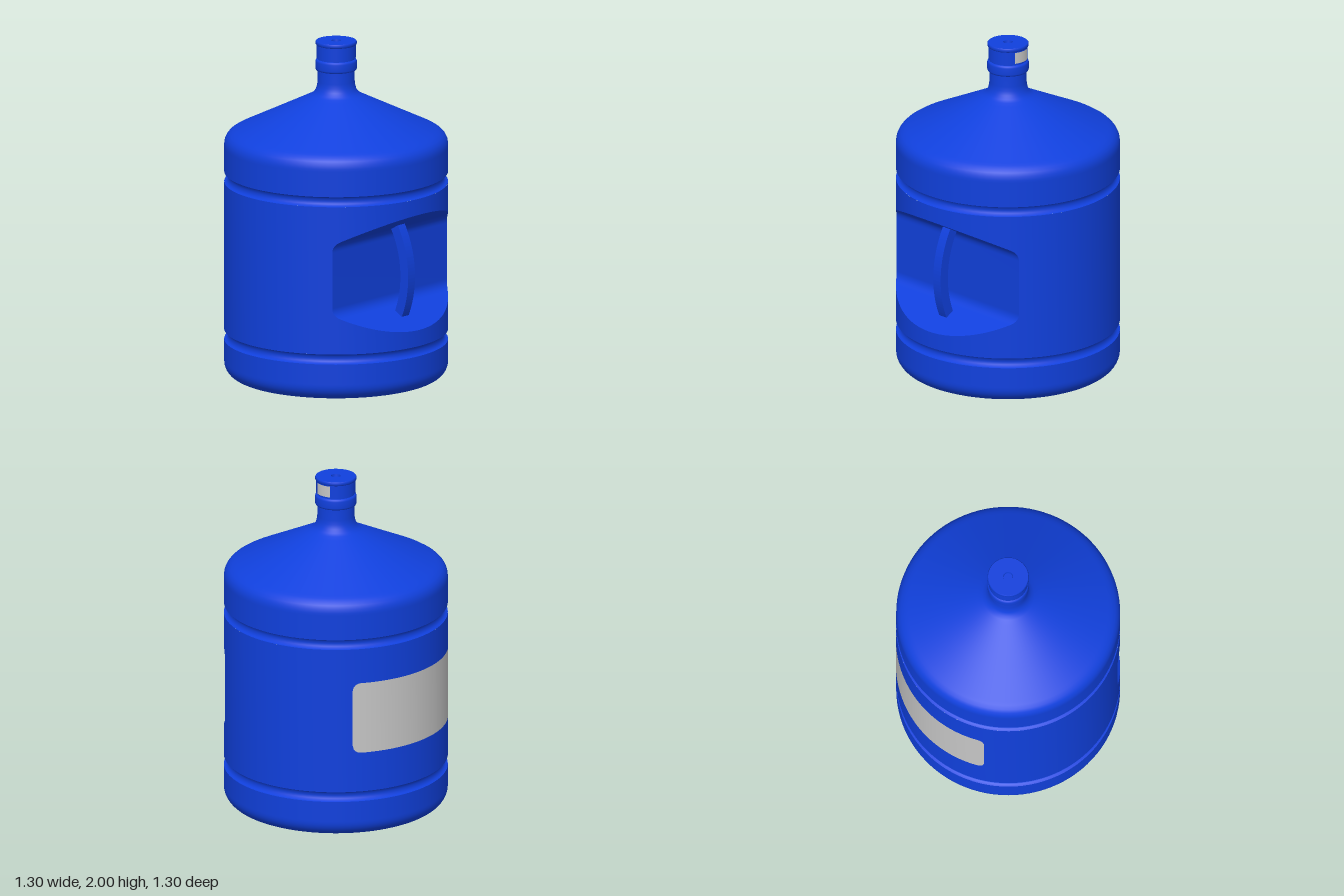
import * as THREE from 'three';

const SEG = 96, R = 0.65;
const NOTCH_X = 0.415, NOTCH_Y = 0.72; // flat back wall of the hand recess

export function createModel() {
  const blue = new THREE.MeshStandardMaterial({ color: 0x1040dd });
  blue.name = 'bottleBlue';
  const grey = new THREE.MeshStandardMaterial({ color: 0xc6c6c6 });
  grey.name = 'labelGrey';
  const model = new THREE.Group();
  model.name = 'waterBottle';

  const add = (name, geometry, material = blue) => {
    const mesh = new THREE.Mesh(geometry, material);
    mesh.name = name;
    model.add(mesh);
    return mesh;
  };

  // Smooth lathe piece; hard edges fall between pieces
  const turn = (name, pts) =>
    add(name, new THREE.LatheGeometry(pts.map(([x, y]) => new THREE.Vector2(x, y)), SEG));

  // Surface through columns of points
  const grid = (cols) => {
    const n = cols[0].length, index = [];
    for (let i = 0; i < cols.length - 1; i++)
      for (let j = 0; j < n - 1; j++) {
        const a = i * n + j, b = a + n;
        index.push(a, b, a + 1, b, b + 1, a + 1);
      }
    const g = new THREE.BufferGeometry();
    g.setAttribute('position', new THREE.Float32BufferAttribute(cols.flat(2), 3));
    g.setIndex(index);
    g.computeVertexNormals();
    return g;
  };
  const onCyl = (r, a, y) => [r * Math.sin(a), y, r * Math.cos(a)];
  const arc = (cx, cy, r, from, to, n) => Array.from({ length: n + 1 }, (_, i) => {
    const a = THREE.MathUtils.degToRad(from + (to - from) * i / n);
    return [cx + r * Math.cos(a), cy + r * Math.sin(a)];
  });

  // Base with rounded rim
  turn('bottom', [[0, 0.012], [0.3, 0.01], [0.5, 0.002], [0.55, 0]]);
  turn('baseWall', [[0.55, 0], ...arc(0.56, 0.09, 0.09, -88, 0, 10), [R, 0.1], [R, 0.22]]);

  // Grooves around the body
  for (const [name, y] of [['lowerGroove', 0.22], ['upperGroove', 1.16]])
    turn(name, [[R, y], [0.637, y + 0.004], [0.628, y + 0.014], [0.625, y + 0.03],
      [0.628, y + 0.046], [0.637, y + 0.056], [R, y + 0.06]]);

  // Upper wall, shoulder cone and neck
  turn('shoulder', [[R, 1.22], [R, 1.37], [R, 1.385], [0.647, 1.407], [0.637, 1.428],
    [0.622, 1.445], [0.6, 1.459], [0.58, 1.469], [0.4, 1.556], [0.18, 1.663], [0.152, 1.677],
    [0.133, 1.69], [0.118, 1.71], [0.111, 1.735], [0.108, 1.76], [0.108, 1.83]]);
  turn('neckRing', [[0.108, 1.825], [0.117, 1.828], [0.121, 1.838], [0.121, 1.878],
    [0.117, 1.888], [0.108, 1.892]]);
  turn('neckTop', [[0.108, 1.89], [0.108, 1.902]]);

  // Cap with rim and a dimple in the middle
  turn('capUnderside', [[0.107, 1.9], [0.114, 1.9]]);
  turn('capWall', [[0.114, 1.9], [0.114, 1.978]]);
  turn('capRim', [[0.114, 1.976], [0.12, 1.983], [0.12, 1.995], [0.116, 2]]);
  turn('capTop', [[0.116, 2], [0.028, 2]]);
  turn('capDimpleWall', [[0.028, 2], [0.026, 1.985]]);
  turn('capDimpleFloor', [[0.026, 1.985], [0, 1.985]]);

  // Half profile of the hand recess: [x, height above its middle]
  const slope = (x) => 0.21 + 0.57 * (x - NOTCH_X);
  const fx = 0.452;
  const half = new THREE.QuadraticBezierCurve(
    new THREE.Vector2(NOTCH_X, 0.165), new THREE.Vector2(NOTCH_X, 0.21),
    new THREE.Vector2(fx, slope(fx))).getPoints(8).map((p) => [p.x, p.y]);
  const fa = Math.acos(fx / R);
  for (let i = 1; i <= 20; i++) {
    const x = R * Math.cos(fa * (1 - i / 20));
    half.push([x, slope(x)]);
  }

  // Body wall around the recess opening
  const low = 0.28, high = 1.16;
  const edge = Math.acos(NOTCH_X / R);
  const cols = [];
  for (const [x, h] of half) cols.push([Math.PI / 2 - Math.acos(Math.min(1, x / R)), h]);
  for (const [x, h] of half.slice(0, -1).reverse())
    cols.push([Math.PI / 2 + Math.acos(x / R), h]);
  add('wallBelowRecess', grid(cols.map(([a, h]) => [onCyl(R, a, low), onCyl(R, a, NOTCH_Y - h)])));
  add('wallAboveRecess', grid(cols.map(([a, h]) => [onCyl(R, a, NOTCH_Y + h), onCyl(R, a, high)])));
  const wall = [];
  for (let i = 0; i <= 72; i++) {
    const a = Math.PI / 2 + edge + (2 * Math.PI - 2 * edge) * i / 72;
    wall.push([onCyl(R, a, low), onCyl(R, a, high)]);
  }
  add('bodyWall', grid(wall));

  // Recess surface running straight across the body
  const profile = [...half.map(([x, h]) => [x, NOTCH_Y - h]).reverse(),
    ...half.map(([x, h]) => [x, NOTCH_Y + h])];
  add('handRecess', grid([1, -1].map((s) => profile.map(([x, y]) =>
    [x, y, s * Math.sqrt(Math.max(0, R * R - x * x))]))));

  // Curved grip bar
  const bar = new THREE.Shape([...arc(-0.024, 0.68, 0.61, -24.5, 31, 28),
    ...arc(-0.024, 0.68, 0.55, 31, -24.5, 28)].map(([x, y]) => new THREE.Vector2(x, y)));
  const barGeo = new THREE.ExtrudeGeometry(bar, { depth: 0.06, bevelEnabled: false });
  barGeo.translate(0, 0, -0.03);
  add('handle', barGeo);

  // Thin curved labels, with optional rounded corners
  const label = (name, r, centre, halfAngle, y0, y1, corner, n) => {
    const strip = [];
    for (let i = 0; i <= n; i++) {
      const a = halfAngle * (2 * i / n - 1);
      const d = Math.max(0, corner - (halfAngle - Math.abs(a)) * r);
      const inset = corner - Math.sqrt(Math.max(0, corner * corner - d * d));
      strip.push([onCyl(r, centre + a, y0 + inset), onCyl(r, centre + a, y1 - inset)]);
    }
    add(name, grid(strip), grey);
  };
  label('bodyLabel', R + 0.002, -Math.PI / 2, 0.693, 0.52, 0.95, 0.05, 120);
  label('capLabel', 0.116, Math.PI, 0.44, 1.905, 1.972, 0, 16);

  return model;
}
